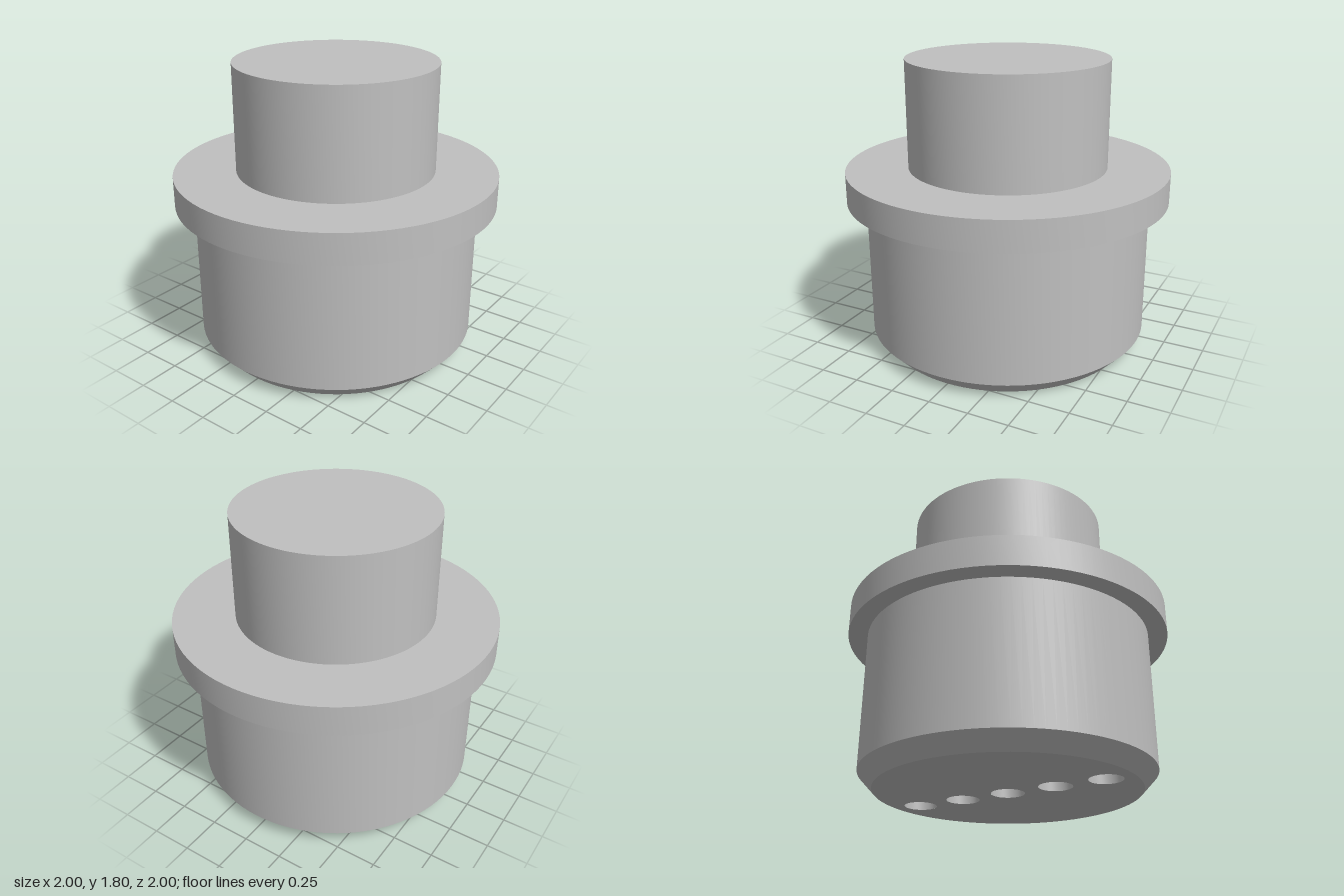
import * as THREE from 'three';
import { toCreasedNormals } from 'three/addons/utils/BufferGeometryUtils.js';

const SEGMENTS = 96;
const BOTTOM_RADIUS = 0.793;
const HOLE_RADIUS = 0.1;
const HOLE_DEPTH = 0.06;
const HOLE_X = [-0.62, -0.31, 0, 0.31, 0.62];

// Turned surface with sharp edges between its profile segments
function turned(name, profile, material, segments = SEGMENTS) {
  const points = profile.map(([r, y]) => new THREE.Vector2(r, y));
  const geometry = toCreasedNormals(new THREE.LatheGeometry(points, segments), 0.5);
  const mesh = new THREE.Mesh(geometry, material);
  mesh.name = name;
  return mesh;
}

export function createModel() {
  const model = new THREE.Group();
  model.name = 'flangedPlug';
  const metal = new THREE.MeshStandardMaterial({ color: 0xc0c0c0 });
  metal.name = 'light grey';

  // Chamfered lower body, flange and upper stem
  model.add(
    turned('body', [[BOTTOM_RADIUS, 0], [0.882, 0.095], [0.882, 0.946]], metal),
    turned('flange', [[0.882, 0.946], [1, 0.946], [1, 1.133], [0.618, 1.133]], metal),
    turned('stem', [[0.618, 1.133], [0.618, 1.8], [0, 1.8]], metal),
  );

  // Underside with a row of round openings
  const face = new THREE.Shape();
  face.absarc(0, 0, BOTTOM_RADIUS, 0, Math.PI * 2);
  for (const x of HOLE_X) {
    face.holes.push(new THREE.Path().absarc(x, 0, HOLE_RADIUS, 0, Math.PI * 2, true));
  }
  const underside = new THREE.Mesh(new THREE.ShapeGeometry(face, SEGMENTS / 2), metal);
  underside.name = 'underside';
  underside.rotation.x = Math.PI / 2;
  model.add(underside);

  // Shallow blind sockets behind the openings
  for (const x of HOLE_X) {
    const socket = turned('socket', [[0, HOLE_DEPTH], [HOLE_RADIUS, HOLE_DEPTH], [HOLE_RADIUS, 0]], metal, 48);
    socket.position.x = x;
    model.add(socket);
  }

  return model;
}
